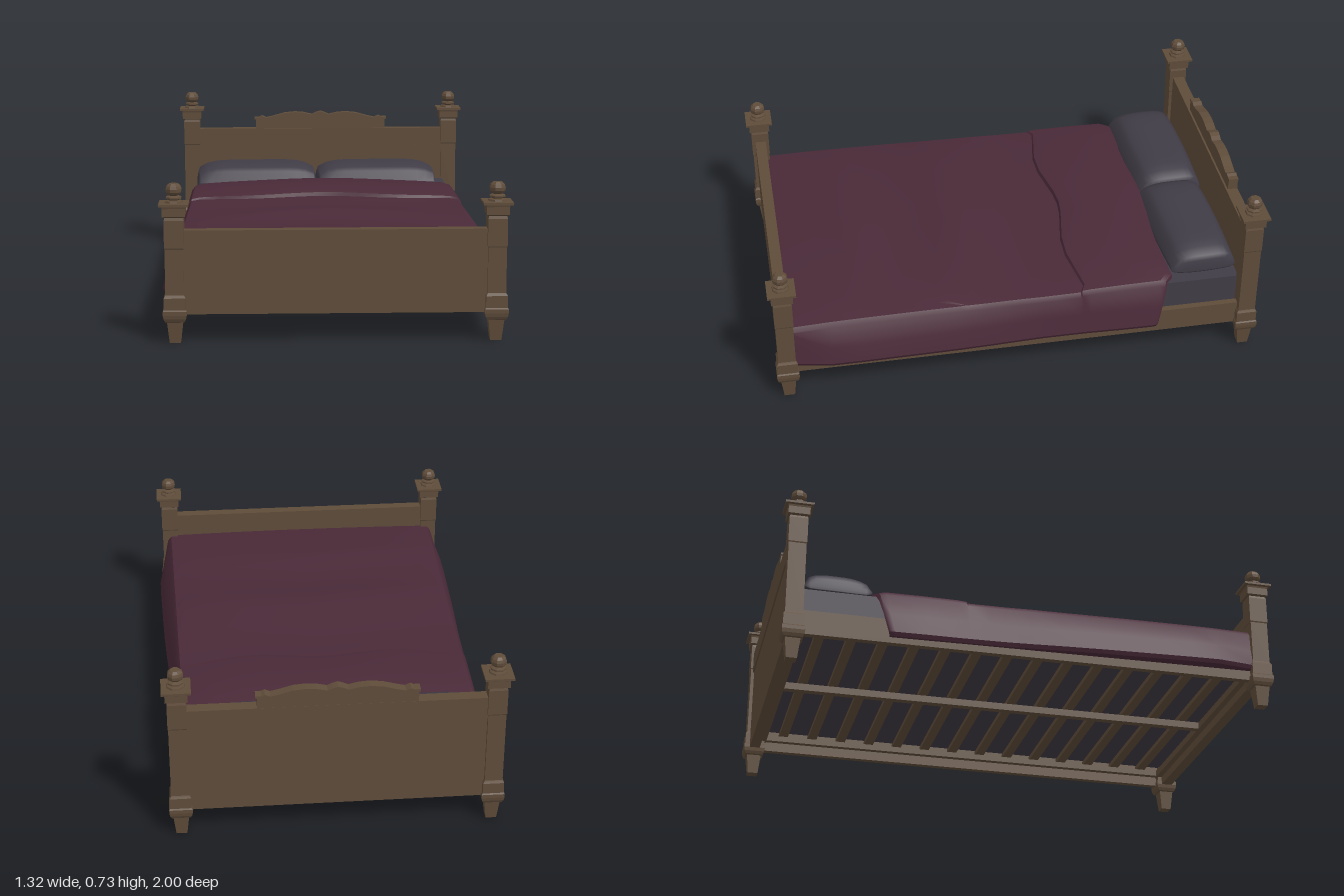
import * as THREE from 'three';
import { mergeVertices, toCreasedNormals } from 'three/addons/utils/BufferGeometryUtils.js';

const wood = new THREE.MeshStandardMaterial({ color: 0x5f4c3a });
wood.name = 'brown wood';
const linen = new THREE.MeshStandardMaterial({ color: 0x403c46 });
linen.name = 'grey linen';
const cloth = new THREE.MeshStandardMaterial({ color: 0x4a2a38, side: THREE.DoubleSide });
cloth.name = 'plum blanket';

function add(parent, name, geometry, material) {
  const mesh = new THREE.Mesh(geometry, material);
  mesh.name = name;
  parent.add(mesh);
  return mesh;
}

// Box given by its lower and upper corners
function box(parent, name, material, x0, x1, y0, y1, z0, z1) {
  const mesh = add(parent, name, new THREE.BoxGeometry(x1 - x0, y1 - y0, z1 - z0), material);
  mesh.position.set((x0 + x1) / 2, (y0 + y1) / 2, (z0 + z1) / 2);
  return mesh;
}

// Faceted turned shape; four sides give a square section of half width r
function turned(profile, sides) {
  const k = sides === 4 ? Math.SQRT2 : 1;
  const points = profile.map(([r, y]) => new THREE.Vector2(r * k, y));
  const g = new THREE.LatheGeometry(points, sides, Math.PI / sides).toNonIndexed();
  g.computeVertexNormals();
  return g;
}

// Post with tapered foot, moulded base, shaft, capital and finial
function post(x, z, top) {
  const group = new THREE.Group();
  group.name = z > 0 ? 'footPost' : 'headPost';
  const h = top - 0.605;
  add(group, 'postBody', turned([
    [0, 0], [0.021, 0], [0.03, 0.08], [0.036, 0.083], [0.042, 0.095], [0.045, 0.11],
    [0.045, 0.125], [0.041, 0.13], [0.041, 0.175], [0.037, 0.182], [0.035, 0.186],
    [0.035, 0.36 + h], [0.037, 0.365 + h], [0.037, 0.47 + h], [0.034, 0.48 + h],
    [0.043, 0.485 + h], [0.043, 0.515 + h], [0.045, 0.522 + h], [0.056, 0.524 + h],
    [0.056, 0.533 + h], [0, 0.534 + h],
  ], 4), wood);
  add(group, 'finial', turned([
    [0.036, 0.533], [0.034, 0.54], [0.02, 0.543], [0.031, 0.549], [0.031, 0.555], [0.017, 0.56],
    [0.026, 0.566], [0.031, 0.573], [0.032, 0.585], [0.028, 0.596], [0.018, 0.605], [0, 0.605],
  ].map(([r, y]) => [r, y + h]), 8), wood);
  group.position.set(x, 0, z);
  return group;
}

// Scalloped crest above the headboard, mirrored about its centre
function crest() {
  const half = [
    [0.305, 0.55], [0.305, 0.601], [0.311, 0.603], [0.311, 0.612], [0.288, 0.612], [0.275, 0.618],
    [0.255, 0.609], [0.22, 0.617], [0.17, 0.631], [0.12, 0.636], [0.08, 0.633], [0.04, 0.624], [0.02, 0.633],
  ];
  const outline = [...half, [0, 0.639], ...half.slice().reverse().map(([x, y]) => [-x, y])];
  const shape = new THREE.Shape(outline.map(([x, y]) => new THREE.Vector2(x, y)));
  return new THREE.ExtrudeGeometry(shape, { depth: 0.04, bevelEnabled: false });
}

// Pillow: a subdivided box with a domed top, a flat underside and thin long edges
function pillowGeometry(w, d) {
  let g = new THREE.BoxGeometry(2, 2, 2, 14, 6, 12);
  g.deleteAttribute('uv');
  g.deleteAttribute('normal');
  g = mergeVertices(g);
  const p = g.attributes.position;
  for (let i = 0; i < p.count; i++) {
    const u = p.getX(i), v = p.getY(i), t = p.getZ(i);
    // The back edge stands steeper than the front
    const dome = Math.sqrt(1 - Math.abs(t) ** (t < 0 ? 4.5 : 2.6));
    const puff = 0.15 + 0.85 * (1 - 0.42 * u ** 6) * dome;
    const height = v > 0 ? 0.09 : 0.022;
    const inset = 1 - 0.04 * Math.max(0, v) ** 2;
    p.setXYZ(i, u * w * inset * (1 - 0.025 * t * t), v * height * puff, t * d * (1 - 0.06 * u * u));
  }
  g.computeVertexNormals();
  return g;
}

// Draped blanket: cross-sections from head to foot
function blanketGeometry() {
  // z, crown height, edge height, hem half width
  const rows = [
    [-0.64, 0.322, 0.312, 0.625], [-0.635, 0.36, 0.335, 0.628], [-0.61, 0.371, 0.342, 0.63],
    [-0.45, 0.373, 0.342, 0.63], [-0.3, 0.37, 0.34, 0.628], [-0.262, 0.362, 0.337, 0.628],
    [-0.256, 0.346, 0.33, 0.628], [-0.17, 0.343, 0.33, 0.629], [-0.1, 0.338, 0.33, 0.63],
    [0, 0.35, 0.332, 0.635], [0.12, 0.365, 0.332, 0.642], [0.21, 0.376, 0.333, 0.646],
    [0.25, 0.364, 0.333, 0.648], [0.38, 0.36, 0.334, 0.652], [0.5, 0.356, 0.334, 0.655],
    [0.57, 0.372, 0.334, 0.657], [0.65, 0.362, 0.334, 0.659], [0.76, 0.352, 0.333, 0.66],
    [0.92, 0.335, 0.328, 0.635],
  ];
  const across = [-0.94, -0.78, -0.6, -0.42, -0.25, -0.12, 0, 0.12, 0.25, 0.42, 0.6, 0.78, 0.94];
  const pos = [], index = [];
  for (const [z, crown, edge, hem] of rows) {
    const t = (z + 0.64) / 1.56;
    const topHalf = 0.58 + 0.022 * t;
    const hemY = 0.133 + 0.017 * t;
    const fade = Math.max(0, 1 - t * 4);
    // Wavy folded-back edge near the head, bowed wrinkles towards the foot
    const wavy = t < 0.25 ? 0.008 + 0.05 * t : 0.02 * Math.max(0, 1 - (t - 0.25) * 8);
    const bowed = 0.09 * Math.sin(Math.PI * THREE.MathUtils.clamp((t - 0.28) / 0.72, 0, 1));
    const side = [
      [0.614, hemY, 0.07], [hem - 0.008, hemY + 0.003, 0.07], [hem, hemY + 0.018, 0.065],
      [hem - 0.014, 0.235, 0.045], [topHalf + 0.014, edge - 0.018, 0.03], [topHalf, edge, 0.025],
    ].map(([x, y, dz]) => [x, y, z + dz * fade]);
    const top = across.map((u) => [
      u * topHalf,
      edge + (crown - edge) * Math.cos(u * Math.PI / 2) ** 0.7,
      z - wavy * Math.cos(u * 6) + bowed * Math.abs(u),
    ]);
    pos.push(...side.map(([x, y, sz]) => [-x, y, sz]).flat(), ...top.flat(), ...side.reverse().flat());
  }
  const n = across.length + 12;
  for (let r = 0; r < rows.length - 1; r++) {
    for (let c = 0; c < n - 1; c++) {
      const a = r * n + c, b = a + n;
      index.push(a, b, a + 1, a + 1, b, b + 1);
    }
  }
  const g = new THREE.BufferGeometry();
  g.setAttribute('position', new THREE.Float32BufferAttribute(pos, 3));
  g.setIndex(index);
  return toCreasedNormals(g, 0.6);
}

export function createModel() {
  const bed = new THREE.Group();
  bed.name = 'bed';

  // Corner posts
  for (const x of [-0.605, 0.605]) {
    bed.add(post(x, 0.943, 0.605), post(x, -0.944, 0.73));
  }

  // End boards and crest
  box(bed, 'footboard', wood, -0.59, 0.59, 0.11, 0.43, 0.92, 0.965);
  box(bed, 'headboard', wood, -0.59, 0.59, 0.11, 0.56, -0.965, -0.922);
  box(bed, 'headboardTopRail', wood, -0.59, 0.59, 0.47, 0.56, -0.971, -0.922);
  add(bed, 'crest', crest(), wood).position.z = -0.97;

  // Side rails with inner ledges
  for (const s of [-1, 1]) {
    const rail = box(bed, 'sideRail', wood, -0.013, 0.013, 0.11, 0.21, -0.92, 0.92);
    rail.position.x = s * 0.602;
    const ledge = box(bed, 'slatLedge', wood, -0.012, 0.012, 0.15, 0.174, -0.92, 0.92);
    ledge.position.x = s * 0.578;
    const endLedge = box(bed, 'endLedge', wood, -0.585, 0.585, 0.145, 0.174, -0.013, 0.013);
    endLedge.position.z = s * 0.908;
  }

  // Slats and centre beam
  for (let i = 0; i < 14; i++) {
    const z = -0.82 + i * 1.64 / 13;
    box(bed, 'slat', wood, -0.588, 0.588, 0.174, 0.193, z - 0.019, z + 0.019);
  }
  box(bed, 'centreBeam', wood, -0.015, 0.015, 0.145, 0.174, -0.9, 0.9);

  // Bedding
  box(bed, 'mattress', linen, -0.577, 0.577, 0.194, 0.32, -0.915, 0.917);
  const pillow = pillowGeometry(0.276, 0.142);
  for (const x of [-0.302, 0.25]) {
    const mesh = add(bed, 'pillow', pillow, linen);
    mesh.position.set(x, 0.336, -0.775);
    mesh.rotation.y = 0.03;
  }
  add(bed, 'blanket', blanketGeometry(), cloth);

  return bed;
}
